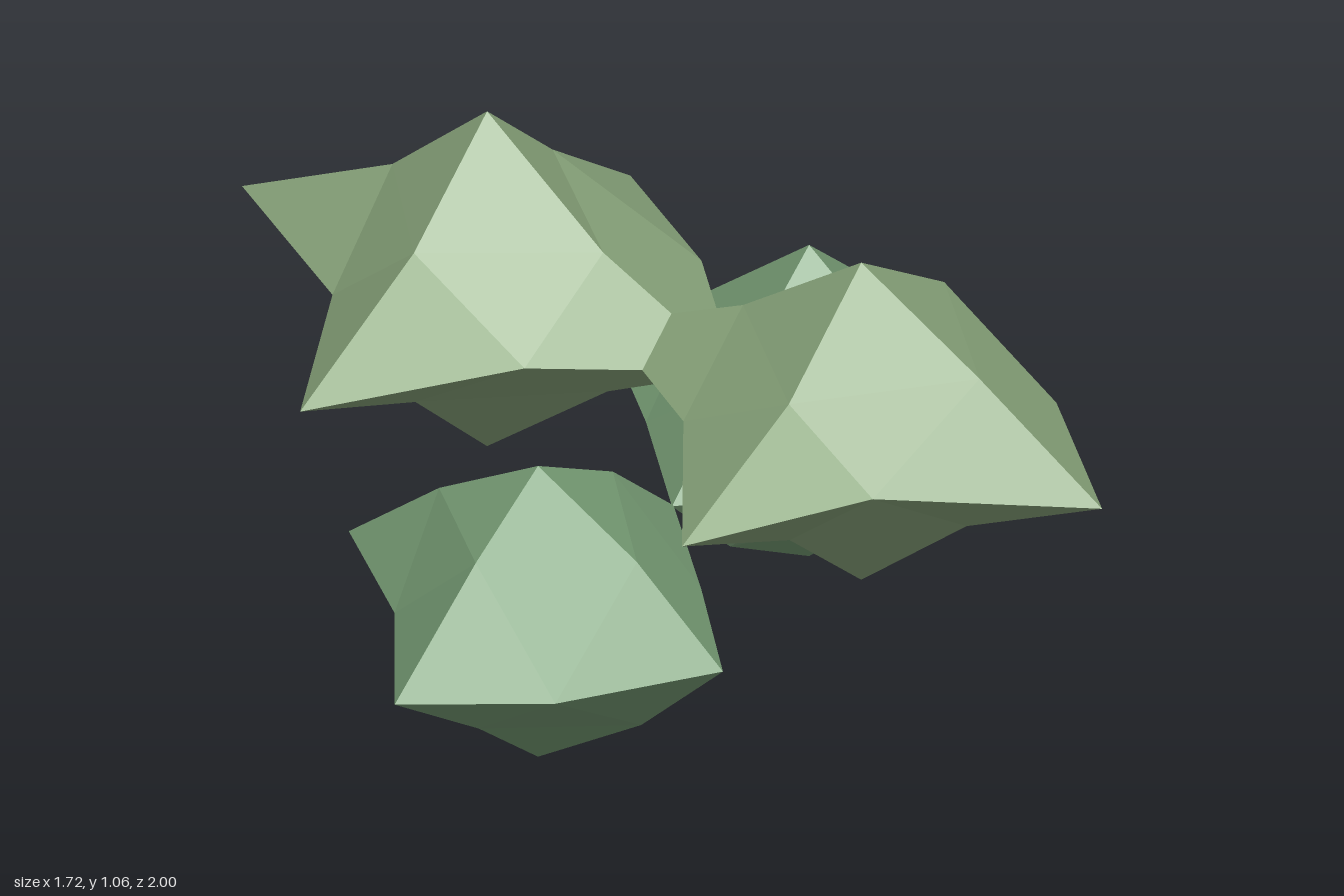
import * as THREE from 'three';

// Each leaf is an octahedron with every edge split once and its corners pushed about.
// tips: reach along [+x, -x, +y, -y, +z, -z]
// xy, yz, xz: reach of the edge middles in each plane, ordered ++, +-, -+, --
const leaves = [
  {
    name: 'frontLeaf', color: 0x8aa67c, at: [0.03, 0.69, 0.44],
    tips: [0.38, 0.575, 0.343, 0.355, 0.56, 0.6],
    xy: [[0.266, 0.17], [0.266, 0.16], [0.232, 0.145], [0.23, 0.155]],
    yz: [[0.185, 0.275], [0.152, 0.275], [0.15, 0.245], [0.15, 0.28]],
    xz: [[0.262, 0.264], [0.21, 0.31], [0.225, 0.19], [0.205, 0.265]],
  },
  {
    name: 'backLeaf', color: 0x8aa67c, at: [0.03, 0.69, -0.43],
    tips: [0.46, 0.6, 0.367, 0.37, 0.58, 0.57],
    xy: [[0.21, 0.18], [0.25, 0.13], [0.235, 0.17], [0.23, 0.16]],
    yz: [[0.152, 0.27], [0.173, 0.22], [0.15, 0.28], [0.15, 0.235]],
    xz: [[0.288, 0.29], [0.283, 0.238], [0.225, 0.25], [0.22, 0.2]],
  },
  {
    name: 'rightLowerLeaf', color: 0x789e76, at: [-0.4, 0.34, 0],
    tips: [0.435, 0.46, 0.3, 0.34, 0.43, 0.44],
    xy: [[0.24, 0.17], [0.247, 0.17], [0.2, 0.184], [0.19, 0.185]],
    yz: [[0.17, 0.23], [0.17, 0.23], [0.185, 0.24], [0.18, 0.24]],
    xz: [[0.22, 0.22], [0.22, 0.22], [0.28, 0.243], [0.19, 0.196]],
  },
  {
    name: 'leftLowerLeaf', color: 0x789e76, at: [0.47, 0.34, 0],
    tips: [0.39, 0.44, 0.36, 0.325, 0.465, 0.47],
    xy: [[0.24, 0.152], [0.222, 0.144], [0.25, 0.17], [0.253, 0.18]],
    yz: [[0.17, 0.24], [0.17, 0.24], [0.155, 0.2], [0.17, 0.285]],
    xz: [[0.233, 0.21], [0.244, 0.265], [0.22, 0.2], [0.22, 0.22]],
  },
];

function leafGeometry({ tips, xy, yz, xz }) {
  const out = [];
  for (let i = 0; i < 8; i++) {
    // One octant: bits pick the negative side of each axis
    const nx = i & 1, ny = (i >> 1) & 1, nz = (i >> 2) & 1;
    const sx = 1 - 2 * nx, sy = 1 - 2 * ny, sz = 1 - 2 * nz;
    const A = [sx * tips[nx], 0, 0];
    const B = [0, sy * tips[2 + ny], 0];
    const C = [0, 0, sz * tips[4 + nz]];
    const p = xy[nx * 2 + ny], q = yz[ny * 2 + nz], r = xz[nx * 2 + nz];
    const AB = [sx * p[0], sy * p[1], 0];
    const BC = [0, sy * q[0], sz * q[1]];
    const CA = [sx * r[0], 0, sz * r[1]];
    const faces = [[A, AB, CA], [AB, B, BC], [CA, BC, C], [AB, BC, CA]];
    for (const [a, b, c] of faces) {
      if (sx * sy * sz > 0) out.push(...a, ...b, ...c);
      else out.push(...a, ...c, ...b);
    }
  }
  const g = new THREE.BufferGeometry();
  g.setAttribute('position', new THREE.Float32BufferAttribute(out, 3));
  g.computeVertexNormals();
  return g;
}

export function createModel() {
  const model = new THREE.Group();
  model.name = 'leafCluster';
  for (const leaf of leaves) {
    const material = new THREE.MeshStandardMaterial({ color: leaf.color, flatShading: true });
    const mesh = new THREE.Mesh(leafGeometry(leaf), material);
    mesh.name = leaf.name;
    mesh.position.set(...leaf.at);
    model.add(mesh);
  }
  return model;
}
